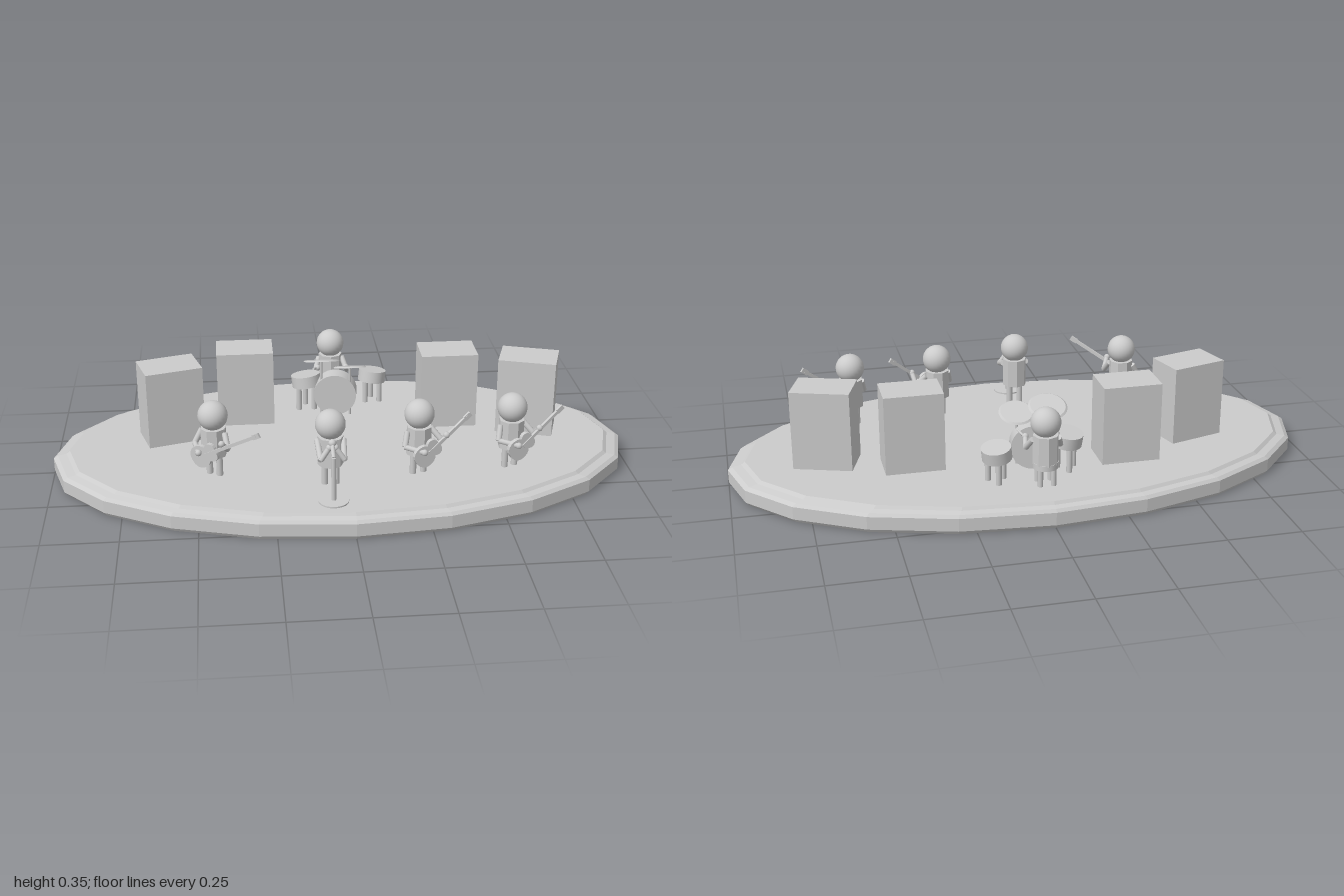
import * as THREE from 'three';

const smooth = new THREE.MeshStandardMaterial({ color: 0xcccccc });
const flat = new THREE.MeshStandardMaterial({ color: 0xcccccc, flatShading: true });
const thin = new THREE.MeshStandardMaterial({ color: 0xcccccc, side: THREE.DoubleSide });
const DECK = 0.082;

function add(parent, name, geometry, x = 0, y = 0, z = 0, material = smooth) {
  const mesh = new THREE.Mesh(geometry, material);
  mesh.name = name;
  mesh.position.set(x, y, z);
  parent.add(mesh);
  return mesh;
}

function group(parent, name, x = 0, y = 0, z = 0, turn = 0) {
  const g = new THREE.Group();
  g.name = name;
  g.position.set(x, y, z);
  g.rotation.y = THREE.MathUtils.degToRad(turn);
  parent.add(g);
  return g;
}

const cyl = (r, h, sides = 24) => new THREE.CylinderGeometry(r, r, h, sides);

// Round bar between two points
function rod(parent, name, a, b, r) {
  const p = new THREE.Vector3(...a), q = new THREE.Vector3(...b);
  const dir = q.clone().sub(p);
  const mesh = add(parent, name, cyl(r, dir.length(), 10));
  mesh.position.copy(p).add(q).multiplyScalar(0.5);
  mesh.quaternion.setFromUnitVectors(new THREE.Vector3(0, 1, 0), dir.normalize());
}

// Arm of three joints; side is +1 for the left, -1 for the right
function arm(parent, side, elbow, hand) {
  const mirror = ([x, y, z]) => [side * x, y, z];
  const name = side > 0 ? 'left' : 'right';
  rod(parent, name + 'UpperArm', mirror([0.043, 0.24, 0]), mirror(elbow), 0.01);
  rod(parent, name + 'Forearm', mirror(elbow), mirror(hand), 0.009);
  add(parent, name + 'Hand', new THREE.SphereGeometry(0.011, 10, 8), ...mirror(hand));
}

// Head and torso shared by all players
function person(parent, name, x, z, turn) {
  const g = group(parent, name, x, 0, z, turn);
  add(g, 'head', new THREE.SphereGeometry(0.05, 24, 16), 0, 0.297, 0);
  add(g, 'torso', cyl(0.043, 0.1, 8), 0, 0.205, 0, flat);
  return g;
}

function standingLegs(g) {
  for (const s of [-1, 1]) add(g, 'leg', cyl(0.011, 0.08, 12), s * 0.019, DECK + 0.04, 0);
}

// Guitar lying along +x, turned up by the tilt
function guitar(parent, length, tilt) {
  const g = group(parent, 'guitar', 0.005, 0.183, 0.062);
  g.rotation.z = THREE.MathUtils.degToRad(tilt);
  const outline = new THREE.Shape();
  outline.moveTo(-0.055, 0);
  outline.bezierCurveTo(-0.055, 0.05, 0, 0.045, 0.01, 0.024);
  outline.bezierCurveTo(0.025, 0.04, 0.05, 0.03, 0.045, 0);
  outline.bezierCurveTo(0.05, -0.03, 0.025, -0.04, 0.01, -0.024);
  outline.bezierCurveTo(0, -0.045, -0.055, -0.05, -0.055, 0);
  add(g, 'guitarBody', new THREE.ExtrudeGeometry(outline, { depth: 0.014, bevelEnabled: false, curveSegments: 8 }), 0, 0, -0.007);
  add(g, 'guitarNeck', new THREE.BoxGeometry(length, 0.011, 0.009), length / 2, 0, 0.006);
  add(g, 'guitarHead', new THREE.BoxGeometry(0.026, 0.017, 0.008), length, 0, 0.006);
}

function guitarist(parent, x, z, turn, length, tilt) {
  const g = person(parent, 'guitarist', x, z, turn);
  standingLegs(g);
  guitar(g, length, tilt);
  arm(g, -1, [0.06, 0.195, 0.02], [0.015, 0.19, 0.075]);
  arm(g, 1, [0.07, 0.2, 0.03], [0.068, 0.235, 0.066]);
}

// Drum shell tilted toward the drummer, on three legs
function tom(parent, x, z, r, y, lean) {
  const g = group(parent, 'tom', x, 0, z);
  add(g, 'tomShell', cyl(r, 0.042), 0, y, 0).rotation.set(-0.13, 0, lean);
  for (let i = 0; i < 3; i++) {
    const a = (i * 2 * Math.PI) / 3 + 0.5;
    const h = y - DECK;
    add(g, 'tomLeg', cyl(0.01, h, 10), Math.cos(a) * r * 0.6, DECK + h / 2, Math.sin(a) * r * 0.6);
  }
}

function cymbal(parent, x, y, z, r) {
  const g = group(parent, 'cymbal', x, 0, z);
  add(g, 'cymbalPlate', new THREE.CylinderGeometry(r * 0.9, r, 0.005, 24), 0, y, 0).rotation.x = -0.36;
  add(g, 'cymbalStand', cyl(0.005, y - DECK, 8), 0, (y + DECK) / 2, 0);
}

export function createModel() {
  const model = new THREE.Group();
  model.name = 'bandOnStage';

  // Oval stage with a stepped, chamfered rim
  const profile = [[0, 0], [0.988, 0], [1, 0.012], [1, 0.056], [0.985, 0.066], [0.955, 0.072], [0.942, DECK], [0, DECK]];
  const stageShape = new THREE.LatheGeometry(profile.map(p => new THREE.Vector2(...p)), 20);
  add(model, 'stage', stageShape, 0, 0, 0, flat).scale.z = 0.556;

  // Speaker cabinets
  for (const [x, z, turn] of [[-0.59, -0.09, 16], [-0.326, -0.227, 0], [0.393, -0.147, 0], [0.67, -0.06, -18]]) {
    const cabinet = group(model, 'speakerCabinet', x, 0, z, turn);
    add(cabinet, 'cabinet', new THREE.BoxGeometry(0.2, 0.273, 0.14), 0, DECK + 0.1365, 0);
  }

  // Guitar players
  guitarist(model, -0.443, 0.216, -30, 0.22, 29);
  guitarist(model, 0.235, 0.265, 18, 0.175, 38);
  guitarist(model, 0.55, 0.243, 20, 0.175, 38);

  // Singer holding the microphone
  const singer = person(model, 'singer', -0.064, 0.318, 0);
  standingLegs(singer);
  for (const s of [-1, 1]) arm(singer, s, [0.038, 0.21, 0.085], [0.01, 0.25, 0.078]);

  // Microphone stand
  const mic = group(model, 'microphoneStand', -0.064, 0, 0.443);
  add(mic, 'standBase', cyl(0.05, 0.005), 0, DECK + 0.0025, 0, thin);
  add(mic, 'standPole', cyl(0.008, 0.155, 12), 0, DECK + 0.0775, 0);
  rod(mic, 'standBoom', [0, 0.235, 0], [0, 0.263, -0.05], 0.007);
  add(mic, 'microphone', new THREE.SphereGeometry(0.013, 14, 10), 0, 0.265, -0.05);

  // Drummer on a stool
  const drummer = person(model, 'drummer', -0.005, -0.388, 0);
  add(drummer, 'stoolSeat', cyl(0.042, 0.02), 0, 0.15, 0);
  for (const sx of [-1, 1]) {
    for (const sz of [-1, 1]) add(drummer, 'stoolLeg', cyl(0.009, 0.06, 10), sx * 0.022, DECK + 0.03, sz * 0.022);
    arm(drummer, sx, [0.058, 0.2, 0.035], [0.052, 0.225, 0.065]);
    rod(drummer, 'drumstick', [sx * 0.052, 0.222, 0.055], [sx * 0.07, 0.235, 0.1], 0.004);
  }

  // Drum kit
  const kit = group(model, 'drumKit');
  const bass = group(kit, 'bassDrum', 0.002, DECK + 0.077, -0.245, -8);
  add(bass, 'bassDrumShell', cyl(0.077, 0.06, 32)).rotation.x = Math.PI / 2;
  tom(kit, -0.102, -0.292, 0.053, 0.193, 0.12);
  tom(kit, 0.146, -0.337, 0.05, 0.183, -0.12);
  cymbal(kit, -0.05, 0.288, -0.237, 0.066);
  cymbal(kit, 0.052, 0.268, -0.218, 0.06);

  return model;
}
